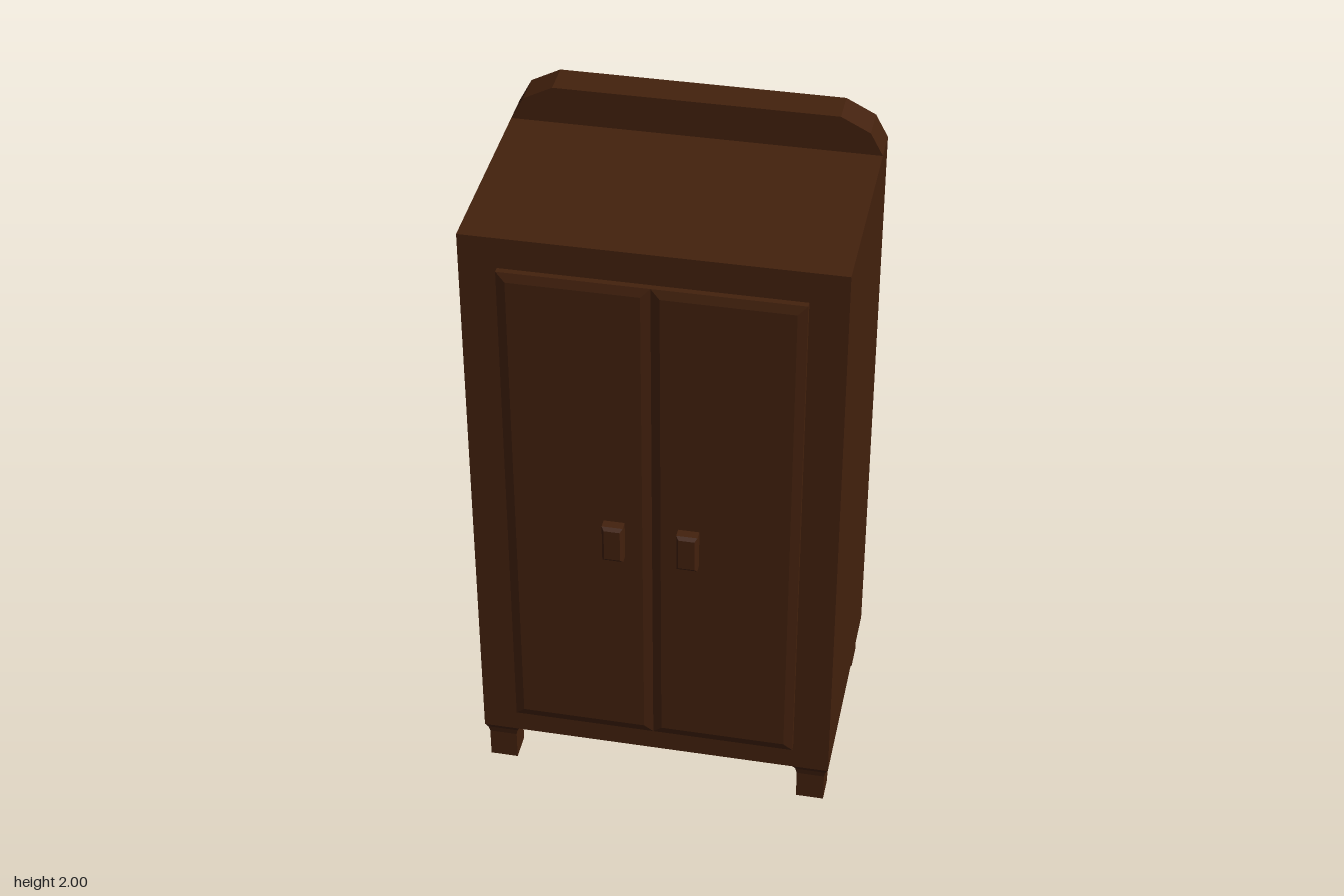
import * as THREE from 'three';

// Block with rectangular sections stacked along z: each is [z, width, height]
function stackedBlock(sections) {
  const last = sections.length - 1;
  const box = new THREE.BoxGeometry(1, 1, 1, 1, 1, last);
  const p = box.attributes.position;
  for (let i = 0; i < p.count; i++) {
    const [z, w, h] = sections[Math.round((p.getZ(i) + 0.5) * last)];
    p.setXYZ(i, p.getX(i) * w, p.getY(i) * h, z);
  }
  const geometry = box.toNonIndexed();
  geometry.computeVertexNormals();
  return geometry;
}

export function createModel() {
  const group = new THREE.Group();
  const wood = new THREE.MeshStandardMaterial({ color: 0x43210d });
  wood.name = 'darkWood';

  const add = (name, geometry, x, y, z) => {
    const mesh = new THREE.Mesh(geometry, wood);
    mesh.name = name;
    mesh.position.set(x, y, z);
    group.add(mesh);
  };

  // Cabinet body
  add('body', new THREE.BoxGeometry(1.046, 1.762, 0.705), 0, 1.009, -0.0325);

  // Raised board with clipped corners along the back of the top
  const crown = new THREE.Shape([
    [-0.523, 1.89], [0.523, 1.89], [0.487, 1.957], [0.403, 2],
    [-0.403, 2], [-0.487, 1.957],
  ].map(([x, y]) => new THREE.Vector2(x, y)));
  add('backCrown', new THREE.ExtrudeGeometry(crown, { depth: 0.103, bevelEnabled: false }), 0, 0, -0.385);

  // Bevelled doors and handles
  const door = stackedBlock([[0.315, 0.417, 1.585], [0.338, 0.417, 1.585], [0.346, 0.365, 1.533]]);
  const handle = stackedBlock([[0.34, 0.06, 0.12], [0.373, 0.06, 0.12], [0.381, 0.046, 0.1]]);

  // Feet that flare out to meet the body corners
  const foot = stackedBlock([[0, 0.082, 0.082], [0.092, 0.082, 0.082], [0.112, 0.09, 0.09], [0.129, 0.106, 0.106]]);
  foot.rotateX(-Math.PI / 2);

  for (const side of [-1, 1]) {
    const label = side > 0 ? 'left' : 'right';
    add(label + 'Door', door, side * 0.2085, 1.004, 0);
    add(label + 'Handle', handle, side * 0.106, 0.943, 0);
    add(label + 'FrontFoot', foot, side * 0.47, 0, 0.267);
    add(label + 'BackFoot', foot, side * 0.47, 0, -0.332);
  }
  return group;
}
